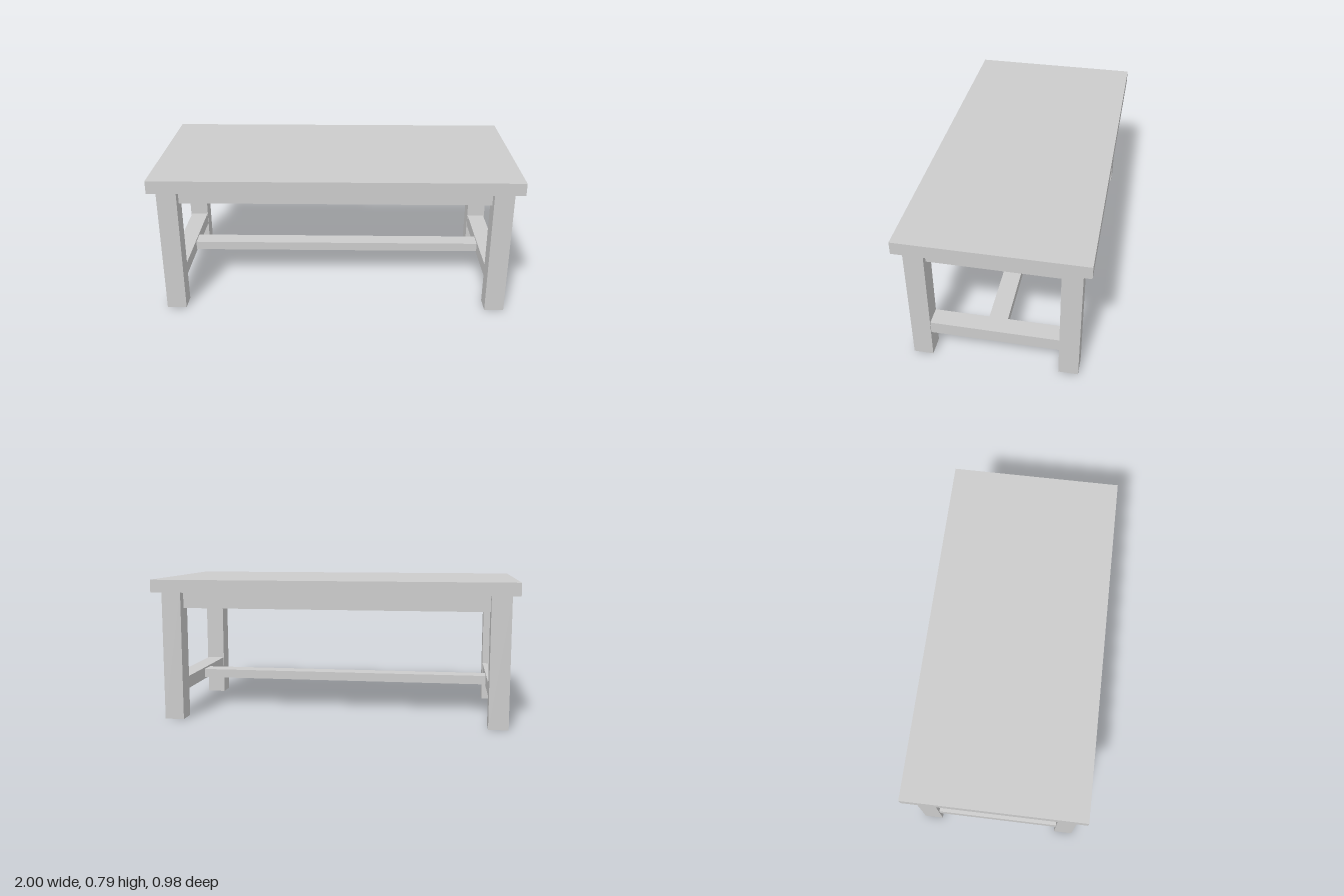
import * as THREE from 'three';

const material = new THREE.MeshStandardMaterial({ color: 0xcccccc, flatShading: true });

// Box given by its extents along each axis
function beam(name, [x0, x1], [y0, y1], [z0, z1]) {
  const mesh = new THREE.Mesh(new THREE.BoxGeometry(x1 - x0, y1 - y0, z1 - z0), material);
  mesh.position.set((x0 + x1) / 2, (y0 + y1) / 2, (z0 + z1) / 2);
  mesh.name = name;
  return mesh;
}

// Extents mirrored to the chosen side
const span = (side, inner, outer) => (side > 0 ? [inner, outer] : [-outer, -inner]);

export function createModel() {
  const table = new THREE.Group();
  table.name = 'table';

  table.add(beam('tableTop', [-1, 1], [0.722, 0.792], [-0.489, 0.489]));

  // Legs, aprons and stretchers sit a hair off the centre of the top
  const base = new THREE.Group();
  base.name = 'base';
  base.position.set(-0.003, 0, 0.002);
  table.add(base);

  const legX = [0.849, 0.957], legZ = [0.341, 0.446];
  const apronY = [0.629, 0.722];

  for (const sx of [1, -1]) {
    const side = sx > 0 ? 'left' : 'right';
    for (const sz of [1, -1]) {
      const end = sz > 0 ? 'Front' : 'Back';
      base.add(beam(`${side}${end}Leg`, span(sx, ...legX), [0, 0.722], span(sz, ...legZ)));
    }
    // Cross pieces between the front and back legs
    base.add(beam(`${side}Apron`, span(sx, 0.795, 0.925), apronY, [-legZ[0], legZ[0]]));
    base.add(beam(`${side}Stretcher`, span(sx, 0.851, 0.951), [0.159, 0.229], [-legZ[0], legZ[0]]));
  }

  // Long aprons under the top, thick enough to reach past the legs
  for (const sz of [1, -1]) {
    base.add(beam(sz > 0 ? 'frontApron' : 'backApron', [-legX[0], legX[0]], apronY, span(sz, 0.303, 0.398)));
  }

  // Recessed panel closing the frame from below
  base.add(beam('undersidePanel', [-0.795, 0.795], [0.68, 0.722], [-0.303, 0.303]));

  // Long stretcher joining the two side stretchers
  base.add(beam('centreStretcher', [-0.851, 0.851], [0.169, 0.219], [-0.05, 0.05]));

  return table;
}
